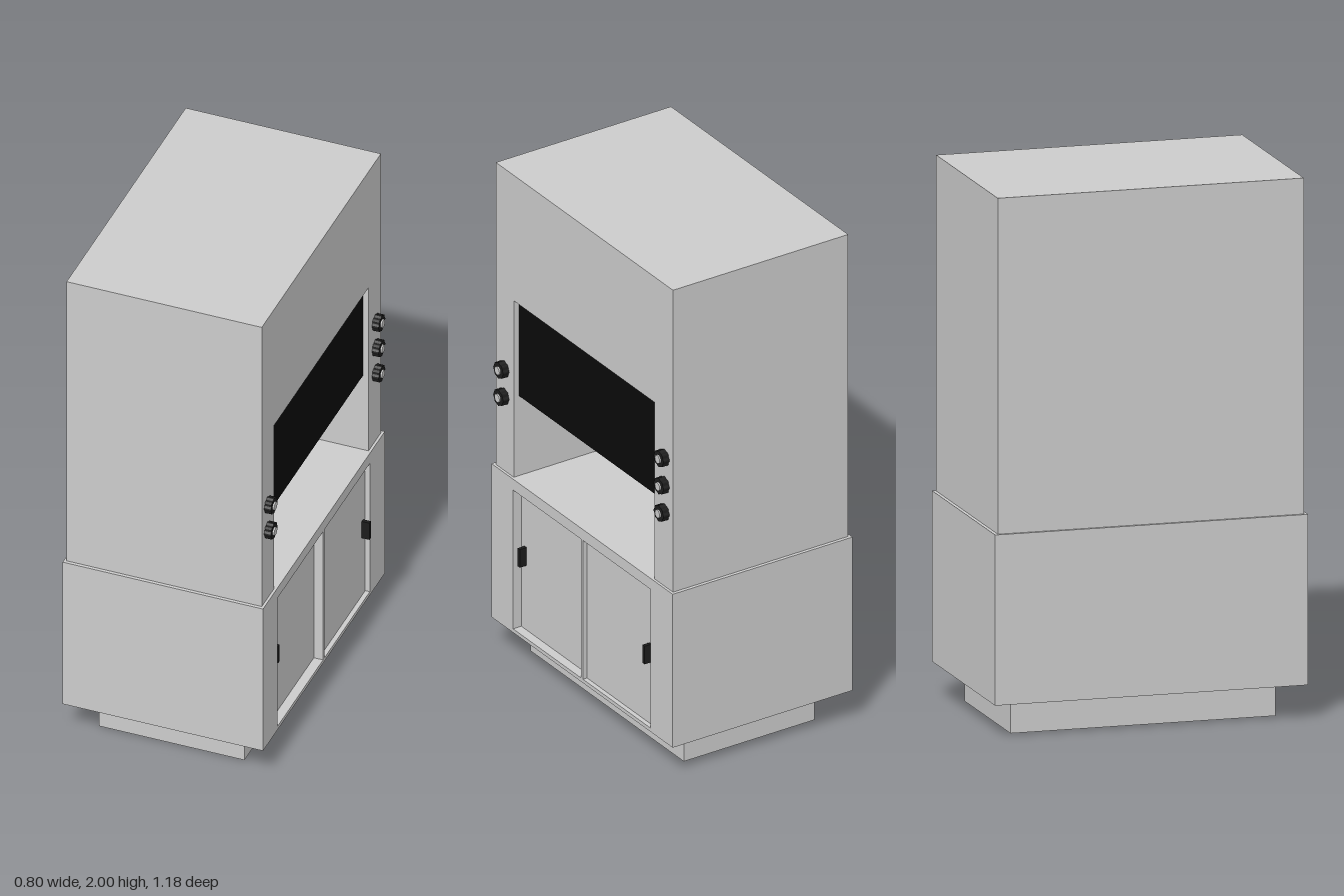
import * as THREE from 'three';

const grey = new THREE.MeshStandardMaterial({ color: 0xcccccc });
const black = new THREE.MeshStandardMaterial({ color: 0x0a0a0a });
const dark = new THREE.MeshStandardMaterial({ color: 0x1c1c1c });

export function createModel() {
  const root = new THREE.Group();

  const add = (name, geometry, material = grey) => {
    const mesh = new THREE.Mesh(geometry, material);
    mesh.name = name;
    root.add(mesh);
    return mesh;
  };

  // Box given by its limits on each axis
  const box = (name, [x0, x1], [y0, y1], [z0, z1], material) =>
    add(name, new THREE.BoxGeometry(x1 - x0, y1 - y0, z1 - z0), material)
      .position.set((x0 + x1) / 2, (y0 + y1) / 2, (z0 + z1) / 2);

  // Outline drawn facing +x (u = -z, v = y), extruded from x0 to x1
  const slab = (shape, x0, x1) =>
    new THREE.ExtrudeGeometry(shape, { depth: x1 - x0, bevelEnabled: false })
      .rotateY(Math.PI / 2).translate(x0, 0, 0);
  const outline = (pts) => pts.map(([u, v]) => new THREE.Vector2(u, v));
  const rect = (u0, u1, v0, v1) => outline([[u0, v0], [u1, v0], [u1, v1], [u0, v1]]);

  // Plinth and base cabinet with two door openings
  box('plinth', [-0.295, 0.27], [0, 0.13], [-0.5, 0.5]);
  box('cabinetBody', [-0.4, 0.34], [0.13, 0.76], [-0.59, 0.59]);
  const frame = new THREE.Shape(rect(-0.59, 0.59, 0.13, 0.76));
  const doorSpans = [[-0.45, -0.008], [0.005, 0.445]];
  for (const [u0, u1] of doorSpans) frame.holes.push(new THREE.Path(rect(u0, u1, 0.145, 0.715)));
  add('cabinetFrame', slab(frame, 0.34, 0.378));

  // Sliding doors on two tracks, each with its handle
  const doors = [
    { side: 'left', face: 0.342, z: 0.422, y: 0.447 },
    { side: 'right', face: 0.36, z: -0.418, y: 0.438 },
  ];
  doors.forEach(({ side, face, z, y }, i) => {
    const [u0, u1] = doorSpans[i];
    box(side + 'Door', [0.335, face], [0.145, 0.715], [-u1, -u0]);
    box(side + 'Handle', [face, face + 0.03], [y - 0.037, y + 0.037], [z - 0.007, z + 0.007], dark);
  });

  // Hood: back part and a front part open over the worktop
  box('hoodBack', [-0.39, -0.26], [0.76, 2], [-0.577, 0.577]);
  const hood = new THREE.Shape(outline([
    [-0.577, 0.76], [-0.46, 0.76], [-0.46, 1.485], [0.457, 1.485],
    [0.457, 0.76], [0.577, 0.76], [0.577, 2], [-0.577, 2],
  ]));
  add('hoodShell', slab(hood, -0.26, 0.368));

  // Dark sash closing the upper part of the opening
  box('sash', [0.318, 0.346], [1.088, 1.485], [-0.457, 0.46], black);

  // Fluted control knobs with a grey cap
  const fluted = [];
  for (let i = 0; i < 48; i++) {
    const a = (i / 48) * Math.PI * 2;
    const r = 0.031 + 0.0018 * Math.cos(8 * a);
    fluted.push([r * Math.cos(a), r * Math.sin(a)]);
  }
  const knobGeometry = slab(new THREE.Shape(outline(fluted)), 0, 0.027);
  const capGeometry = new THREE.CylinderGeometry(0.016, 0.016, 0.012, 24)
    .rotateZ(-Math.PI / 2).translate(0.027, 0, 0);
  for (const [y, z] of [[1.29, -0.522], [1.178, -0.522], [1.066, -0.522], [1.178, 0.522], [1.066, 0.522]]) {
    add('knob', knobGeometry, dark).position.set(0.367, y, z);
    add('knobCap', capGeometry).position.set(0.367, y, z);
  }
  return root;
}
